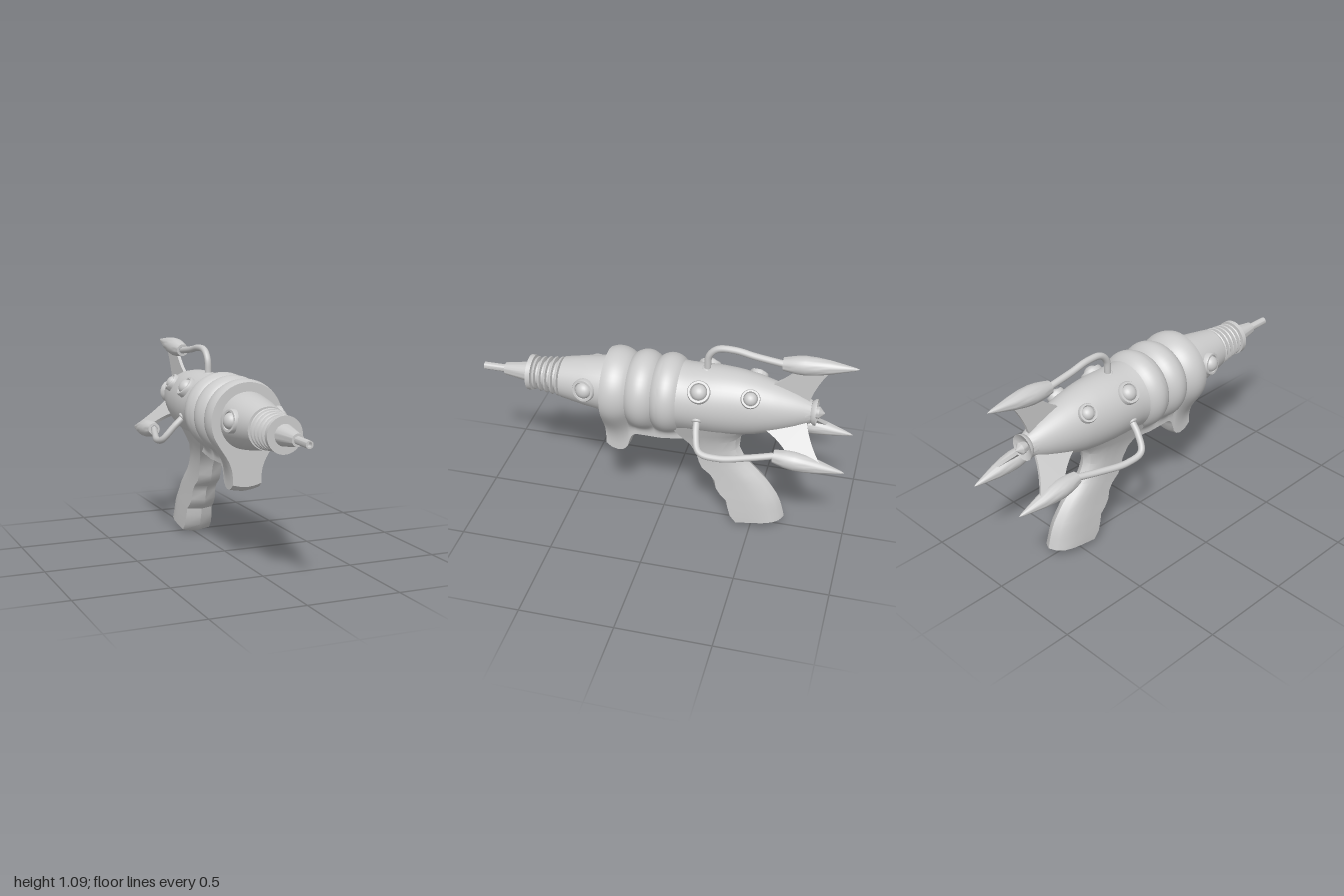
import * as THREE from 'three';
import { toCreasedNormals } from 'three/addons/utils/BufferGeometryUtils.js';

const AXIS = 0.767; // height of the barrel axis
const mat = new THREE.MeshStandardMaterial({ color: 0xcccccc });
const lerp = THREE.MathUtils.lerp;

function mesh(name, geo, parent, crease = 0.6) {
  const m = new THREE.Mesh(crease ? toCreasedNormals(geo, crease) : geo, mat);
  m.name = name;
  parent.add(m);
  return m;
}

// Linear lookup in an ascending [[key, value], ...] table
function at(table, k) {
  if (k <= table[0][0]) return table[0][1];
  for (let i = 1; i < table.length; i++) {
    const [a, va] = table[i - 1], [b, vb] = table[i];
    if (k <= b) return lerp(va, vb, (k - a) / (b - a));
  }
  return table[table.length - 1][1];
}

// Skin over closed rings of Vector3, capped at both ends
function loft(rings) {
  const n = rings[0].length, pos = [], idx = [];
  rings.forEach(r => r.forEach(p => pos.push(p.x, p.y, p.z)));
  for (let i = 0; i < rings.length - 1; i++) {
    for (let j = 0; j < n; j++) {
      const a = i * n + j, b = i * n + (j + 1) % n;
      idx.push(a, a + n, b, b, a + n, b + n);
    }
  }
  [0, rings.length - 1].forEach(i => {
    const c = new THREE.Vector3();
    rings[i].forEach(p => c.addScaledVector(p, 1 / n));
    const ci = pos.length / 3;
    pos.push(c.x, c.y, c.z);
    for (let j = 0; j < n; j++) {
      const a = i * n + j, b = i * n + (j + 1) % n;
      if (i) idx.push(ci, b, a); else idx.push(ci, a, b);
    }
  });
  const g = new THREE.BufferGeometry();
  g.setAttribute('position', new THREE.Float32BufferAttribute(pos, 3));
  g.setIndex(idx);
  return g;
}

// Turned part along z from [z, radius] pairs, rear to front
function turned(pairs, segs = 40) {
  return new THREE.LatheGeometry(pairs.map(([z, r]) => new THREE.Vector2(r, z)), segs).rotateX(Math.PI / 2);
}

// Body: round above, drawn down to a narrow keel and front lug below
const REAR = [[-0.78, 0.062], [-0.7, 0.098], [-0.6, 0.135], [-0.5, 0.162], [-0.4, 0.179], [-0.3, 0.183], [-0.2, 0.18], [-0.1, 0.174]];
const KEEL = [[-0.5, 0.575], [-0.4, 0.56], [-0.2, 0.53], [-0.1, 0.515], [0, 0.503], [0.14, 0.505], [0.165, 0.48],
  [0.18, 0.42], [0.2, 0.395], [0.23, 0.385], [0.27, 0.395], [0.3, 0.42]];
const BULGES = [[-0.1, 0.035, 1], [0.035, 0.17, 1], [0.17, 0.33, 0.8125]];

function bodyRing(z, r) {
  const keel = at(KEEL, z), drop = at([[-0.52, 0], [-0.3, 1]], z), xs = at([[-0.4, 0.87], [-0.1, 1]], z);
  const a0 = Math.PI * 2 / 3, w = 0.08;
  const p0 = new THREE.Vector2(r * Math.sin(a0), AXIS + r * Math.cos(a0));
  const edge = keel + 0.015;
  const flank = new THREE.CubicBezierCurve(p0, new THREE.Vector2(p0.x - 0.05, p0.y - 0.087),
    new THREE.Vector2(w - 0.006, lerp(edge, p0.y, 0.5)), new THREE.Vector2(w, edge));
  const half = [];
  for (let i = 0; i <= 16; i++) half.push([r * Math.sin(a0 * i / 16), AXIS + r * Math.cos(a0 * i / 16)]);
  for (let i = 1; i <= 11; i++) {
    const a = lerp(a0, Math.PI, i / 12), q = flank.getPoint(Math.min(1, i / 10));
    if (i === 11) q.set(w * 0.5, keel + 0.005);
    half.push([lerp(r * Math.sin(a), q.x, drop), lerp(AXIS + r * Math.cos(a), q.y, drop)]);
  }
  half.push([0, lerp(AXIS - r, keel, drop)]);
  const right = half.map(([x, y]) => new THREE.Vector3(x * xs, y, z));
  const left = half.slice(1, -1).reverse().map(([x, y]) => new THREE.Vector3(-x * xs, y, z));
  return right.concat(left);
}

function body() {
  const rings = [];
  for (let i = 0; i < 17; i++) {
    const z = -0.78 + 0.04 * i;
    rings.push(bodyRing(z, at(REAR, z)));
  }
  BULGES.forEach(([a, b, end]) => {
    for (let i = 0; i <= 12; i++) {
      if (i === 0 && a > -0.1) continue;
      const t = end * i / 12;
      rings.push(bodyRing(lerp(a, b, t), 0.178 + 0.031 * Math.max(0, Math.sin(Math.PI * t)) ** 0.75));
    }
  });
  return loft(rings);
}

// Grip stations from top to bottom: front z, front y, back z, back y, half width
const GRIP = [
  [0, 0.64, -0.52, 0.65, 0.125], [-0.07, 0.56, -0.46, 0.6, 0.098], [-0.135, 0.495, -0.42, 0.55, 0.075],
  [-0.172, 0.43, -0.415, 0.485, 0.067], [-0.183, 0.385, -0.44, 0.43, 0.065], [-0.2, 0.345, -0.475, 0.385, 0.065],
  [-0.245, 0.31, -0.52, 0.34, 0.066], [-0.268, 0.275, -0.565, 0.295, 0.068], [-0.275, 0.225, -0.6, 0.25, 0.07],
  [-0.3, 0.19, -0.63, 0.205, 0.073], [-0.335, 0.16, -0.65, 0.16, 0.075], [-0.342, 0.12, -0.662, 0.12, 0.077],
  [-0.36, 0.06, -0.672, 0.08, 0.08], [-0.395, 0.02, -0.676, 0.06, 0.08], [-0.46, 0, -0.62, 0.035, 0.04]];
const GRIP_SECTION = [[0, 0], [0.1, 1], [0.4, 1], [0.62, 0.97], [0.8, 0.83], [0.93, 0.52], [1, 0]];

function grip() {
  const outline = GRIP_SECTION.concat(GRIP_SECTION.slice(1, -1).reverse().map(([t, w]) => [t, -w]));
  return loft(GRIP.map(([fz, fy, bz, by, hw]) =>
    outline.map(([t, w]) => new THREE.Vector3(w * hw, lerp(fy, by, t), lerp(fz, bz, t)))));
}

// Domed porthole facing along a direction
function porthole(parent, position, normal, size) {
  const g = new THREE.Group();
  g.name = 'porthole';
  mesh('portholeRim', turned([[-0.03, size], [0.005, size], [0.014, size * 0.93], [0.014, size * 0.75], [0.004, size * 0.68]], 28), g);
  const dome = mesh('portholeDome', new THREE.SphereGeometry(size * 0.7, 24, 16), g, 0);
  dome.scale.z = 0.85;
  g.position.set(...position);
  g.lookAt(g.position.clone().add(new THREE.Vector3(...normal)));
  parent.add(g);
}

// Curved pipe with a collar at its root, ending in a pointed pod
function pipeAndPod(parent, points, tip) {
  const v = points.map(p => new THREE.Vector3(...p));
  mesh('pipe', new THREE.TubeGeometry(new THREE.CatmullRomCurve3(v), 48, 0.018, 12), parent, 0);
  const collar = mesh('pipeCollar', new THREE.TorusGeometry(0.02, 0.009, 8, 20), parent, 0);
  collar.position.copy(v[0]);
  collar.lookAt(v[1]);
  const end = v[v.length - 1], dir = new THREE.Vector3(...tip).sub(end), len = dir.length();
  const profile = [[0, 0.02], [0, 0.034], [0.08, 0.04], [0.18, 0.047], [0.3, 0.05], [0.45, 0.046], [0.62, 0.036], [0.8, 0.021], [0.95, 0.008], [1, 0]];
  const pod = mesh('pod', turned(profile.map(([t, r]) => [-t * len, r]).reverse(), 28), parent);
  pod.position.copy(end);
  pod.lookAt(end.clone().sub(dir));
}

// Swept fin in the plane of the axis, turned about it
function fin(parent, angle) {
  const s = new THREE.Shape();
  s.moveTo(0.55, 0.08);
  s.lineTo(0.57, 0.135);
  s.quadraticCurveTo(0.65, 0.18, 0.7, 0.25);
  s.lineTo(0.86, 0.26);
  s.quadraticCurveTo(0.79, 0.16, 0.765, 0.06);
  const geo = new THREE.ExtrudeGeometry(s, { depth: 0.018, bevelEnabled: false });
  geo.translate(0, 0, -0.009).rotateY(Math.PI / 2);
  const f = mesh('fin', geo, parent);
  f.position.y = AXIS;
  f.rotation.z = angle;
}

export function createModel() {
  const model = new THREE.Group();
  model.name = 'rayGun';
  mesh('body', body(), model);
  mesh('grip', grip(), model);

  // Barrel: cone, cooling ribs, flange and needle
  const barrel = [[0.28, 0.15], [0.3, 0.15], [0.42, 0.134], [0.55, 0.11]];
  for (let i = 0; i < 5; i++) {
    const z = 0.55 + 0.033 * i, r = 0.106 - 0.004 * i;
    barrel.push([z, r - 0.024], [z + 0.01, r - 0.024], [z + 0.014, r - 0.004], [z + 0.019, r], [z + 0.025, r - 0.004], [z + 0.03, r - 0.024]);
  }
  barrel.push([0.715, 0.075], [0.715, 0.095], [0.74, 0.095], [0.74, 0.055], [0.88, 0.032], [0.88, 0.02],
    [1, 0.02], [1, 0.012], [0.97, 0.012], [0.97, 0]);
  mesh('barrel', turned(barrel), model).position.y = AXIS;

  // Tail nozzle and its pointed plug
  mesh('nozzle', turned([[-0.775, 0], [-0.802, 0.06], [-0.808, 0.07], [-0.795, 0.068], [-0.78, 0.055], [-0.755, 0.064]]), model).position.y = AXIS;
  mesh('nozzlePlug', turned([[-0.85, 0], [-0.82, 0.032], [-0.805, 0.03], [-0.77, 0.018]], 24), model).position.y = AXIS;

  for (const s of [1, -1]) {
    porthole(model, [s * 0.136, 0.79, 0.4], [s, 0.17, 0.17], 0.062);
    porthole(model, [s * 0.137, 0.88, -0.217], [s, 0.85, -0.05], 0.06);
    porthole(model, [s * 0.118, 0.87, -0.48], [s, 0.78, -0.22], 0.05);
    pipeAndPod(model, [[s * 0.155, 0.715, -0.213], [s * 0.205, 0.665, -0.22], [s * 0.258, 0.595, -0.25],
      [s * 0.255, 0.572, -0.35], [s * 0.215, 0.575, -0.5], [s * 0.178, 0.583, -0.62]], [s * 0.172, 0.537, -0.99]);
    fin(model, -s * 2.38);
  }
  pipeAndPod(model, [[0, 0.94, -0.23], [0, 1.02, -0.238], [0, 1.064, -0.28], [0, 1.071, -0.37], [0, 1.05, -0.48], [0, 1.03, -0.62]], [0, 1.055, -1]);
  fin(model, 0);
  return model;
}
